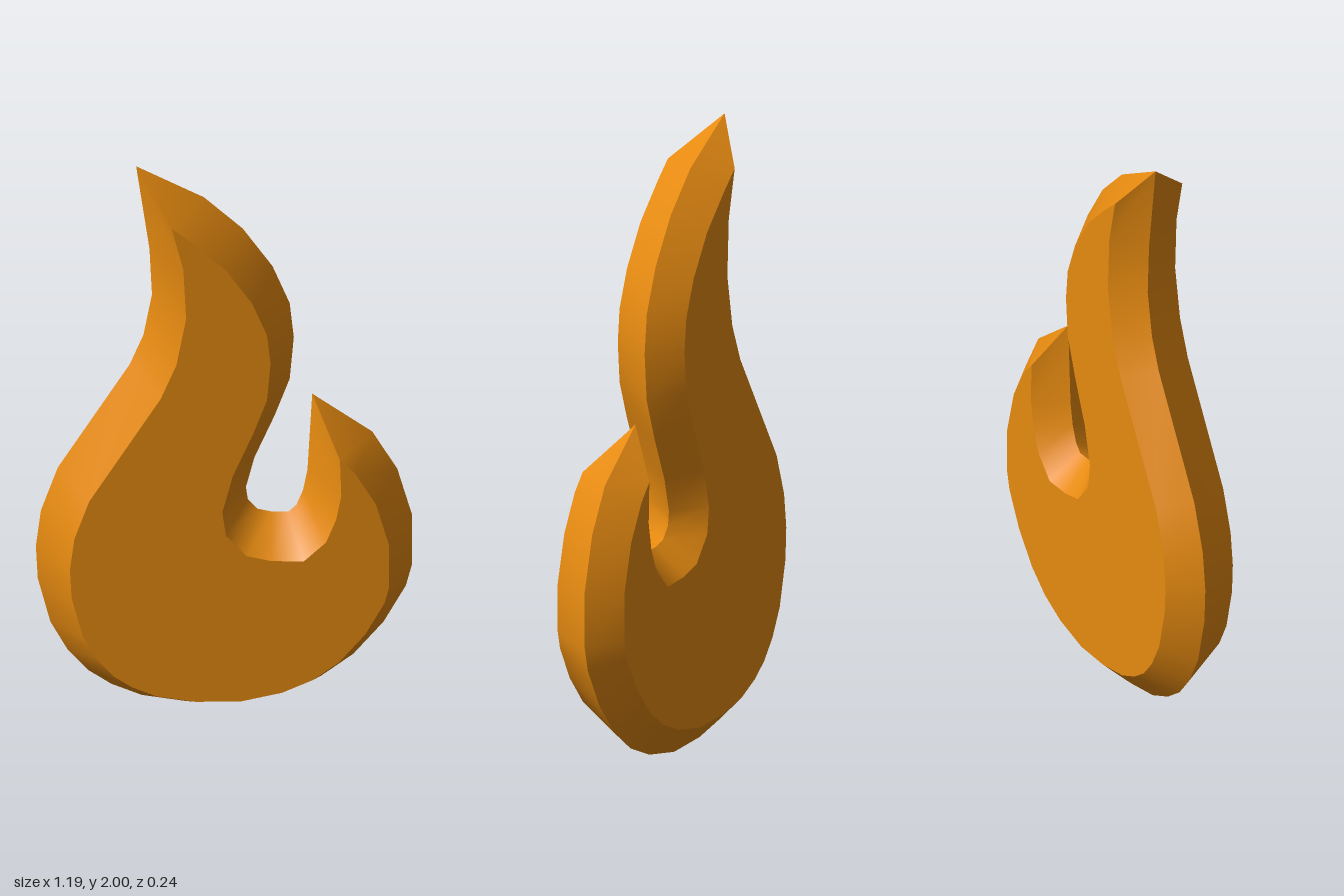
import * as THREE from 'three';
import { toCreasedNormals } from 'three/addons/utils/BufferGeometryUtils.js';

const RIDGE_Z = -0.03, FRONT_Z = 0.12, BACK_Z = -0.122;
const INSET = 0.09, MAX_MITER = 0.173;

// Flame silhouette, clockwise from the tall tip
const OUTLINE = [
  [-0.28, 2.0], [-0.066, 1.87], [0.056, 1.746], [0.15, 1.6], [0.204, 1.46], [0.217, 1.333],
  [0.204, 1.18], [0.156, 1.047], [0.093, 0.898], [0.066, 0.79], [0.072, 0.745], [0.103, 0.707],
  [0.146, 0.694], [0.199, 0.689], [0.225, 0.713], [0.246, 0.766], [0.26, 0.84], [0.275, 1.12],
  [0.464, 0.967], [0.543, 0.824], [0.59, 0.649], [0.59, 0.469], [0.57, 0.39], [0.5, 0.262],
  [0.405, 0.15], [0.305, 0.077], [0.188, 0.029], [0.034, 0.002], [-0.125, 0.013], [-0.262, 0.045],
  [-0.358, 0.093], [-0.432, 0.15], [-0.496, 0.23], [-0.55, 0.336], [-0.59, 0.5], [-0.596, 0.62],
  [-0.58, 0.75], [-0.527, 0.904], [-0.3, 1.27], [-0.257, 1.375], [-0.23, 1.523], [-0.238, 1.693],
];

// Moves each corner inward by a mitred offset, limited at the sharp tips
function insetRing(ring) {
  const n = ring.length;
  const inward = (a, b) => new THREE.Vector2(a.y - b.y, b.x - a.x).normalize();
  return ring.map((p, i) => {
    const n1 = inward(ring[(i + n - 1) % n], p);
    const n2 = inward(p, ring[(i + 1) % n]);
    const dir = n1.clone().add(n2).normalize();
    return p.clone().addScaledVector(dir, Math.min(INSET / dir.dot(n1), MAX_MITER));
  });
}

// Sloping band from the outer ridge to a face outline
function bevel(outer, inner, z, isBack) {
  const pos = [];
  const n = outer.length;
  for (let i = 0; i < n; i++) {
    const j = (i + 1) % n;
    const a = [outer[i].x, outer[i].y, RIDGE_Z], b = [outer[j].x, outer[j].y, RIDGE_Z];
    const c = [inner[j].x, inner[j].y, z], d = [inner[i].x, inner[i].y, z];
    pos.push(...(isBack ? [a, c, b, a, d, c] : [a, b, c, a, c, d]).flat());
  }
  const geo = new THREE.BufferGeometry();
  geo.setAttribute('position', new THREE.Float32BufferAttribute(pos, 3));
  return toCreasedNormals(geo, 0.9);
}

// Flat face filling the inset outline
function face(inner, z, isBack) {
  const geo = new THREE.ShapeGeometry(new THREE.Shape(inner));
  geo.translate(0, 0, z);
  if (isBack) {
    geo.setIndex(Array.from(geo.index.array).reverse());
    geo.computeVertexNormals();
  }
  return geo;
}

export function createModel() {
  const group = new THREE.Group();
  group.name = 'flame';
  const orange = new THREE.MeshStandardMaterial({ color: 0xe68a10 });
  orange.name = 'flame orange';

  const outer = OUTLINE.map(([x, y]) => new THREE.Vector2(x, y)).reverse();
  const inner = insetRing(outer);
  const add = (name, geo) => {
    const mesh = new THREE.Mesh(geo, orange);
    mesh.name = name;
    group.add(mesh);
  };
  add('frontFace', face(inner, FRONT_Z, false));
  add('backFace', face(inner, BACK_Z, true));
  add('frontBevel', bevel(outer, inner, FRONT_Z, false));
  add('backBevel', bevel(outer, inner, BACK_Z, true));
  return group;
}
